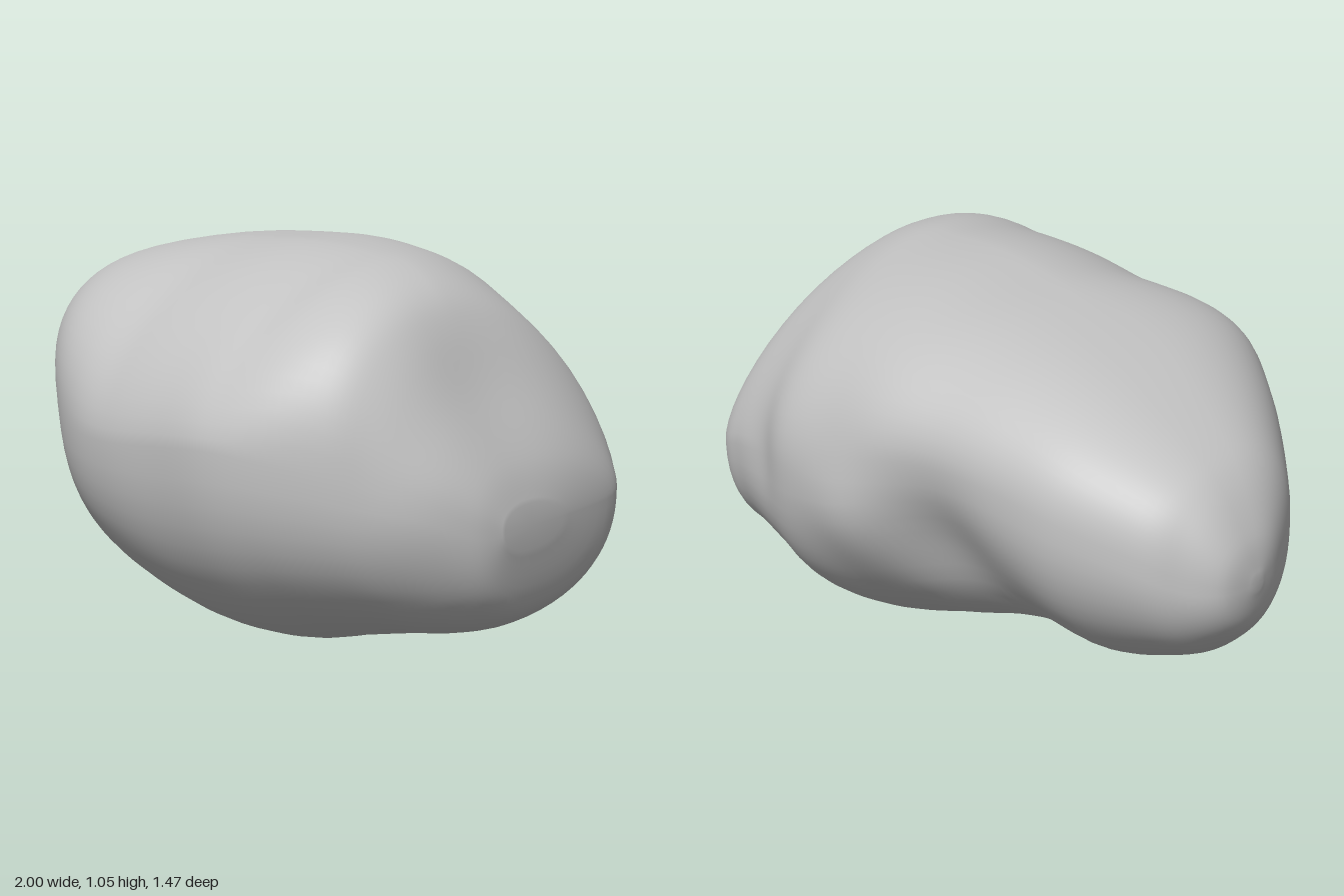
import * as THREE from 'three';

// Cross-sections along x: [x, zBack, zFront, yBottom, yTop, zCrown, zKeel, yBack, yFront]
const SECTIONS = [
  [-1.0, -0.46, -0.42, 0.55, 0.59, -0.44, -0.44, 0.57, 0.57],
  [-0.975, -0.55, -0.32, 0.45, 0.68, -0.44, -0.43, 0.57, 0.57],
  [-0.9, -0.62, -0.16, 0.36, 0.79, -0.42, -0.38, 0.58, 0.57],
  [-0.8, -0.68, -0.02, 0.29, 0.86, -0.38, -0.32, 0.62, 0.57],
  [-0.6, -0.73, 0.23, 0.20, 0.94, -0.30, -0.20, 0.66, 0.57],
  [-0.4, -0.73, 0.44, 0.18, 0.99, -0.22, -0.08, 0.68, 0.57],
  [-0.2, -0.725, 0.57, 0.12, 1.02, -0.12, 0.0, 0.67, 0.56],
  [0.0, -0.73, 0.65, 0.055, 1.035, -0.05, 0.02, 0.64, 0.56],
  [0.2, -0.70, 0.70, 0.005, 1.045, 0.0, 0.02, 0.60, 0.58],
  [0.4, -0.67, 0.74, 0.005, 1.035, 0.04, 0.02, 0.57, 0.60],
  [0.55, -0.60, 0.72, 0.04, 1.02, 0.10, 0.03, 0.53, 0.59],
  [0.7, -0.53, 0.65, 0.07, 0.97, 0.17, 0.04, 0.50, 0.56],
  [0.8, -0.48, 0.57, 0.085, 0.88, 0.20, 0.05, 0.46, 0.52],
  [0.9, -0.38, 0.46, 0.12, 0.72, 0.20, 0.08, 0.43, 0.47],
  [0.97, -0.26, 0.36, 0.19, 0.57, 0.18, 0.12, 0.40, 0.42],
  [1.0, 0.02, 0.28, 0.34, 0.46, 0.16, 0.17, 0.40, 0.40],
];

// Hollows and swellings of the surface: centre, radius and push
const WEAR = [
  { at: [0.53, 0.55, -0.6], radius: 0.13, push: [0, 0, 0.02] }, // back notch
  { at: [-0.17, 0.48, -0.69], radius: 0.2, push: [0, 0.02, 0.06] }, // back hollow
  { at: [0.13, 0.5, -0.7], radius: 0.16, push: [0, 0, -0.03] }, // back knob
  { at: [-0.47, 0.45, 0.36], radius: 0.24, push: [0.02, 0, -0.035] }, // front left dip
  { at: [0.84, 0.73, 0.2], radius: 0.25, push: [-0.035, -0.025, 0] }, // right end dip
  { at: [0.86, 0.42, 0.47], radius: 0.16, push: [0.015, 0.02, 0.01] }, // right front knob
];

const STEPS = 6; // rings between neighbouring sections
const SIDES = 64;

// Catmull-Rom blend of whole section rows
function sectionAt(t) {
  const last = SECTIONS.length - 1;
  const i = Math.min(Math.floor(t), last - 1);
  const f = t - i;
  const row = (k) => SECTIONS[THREE.MathUtils.clamp(k, 0, last)];
  const [a, b, c, d] = [row(i - 1), row(i), row(i + 1), row(i + 2)];
  return b.map((v, k) => v + 0.5 * f * (c[k] - a[k]
    + f * (2 * a[k] - 5 * v + 4 * c[k] - d[k] + f * (3 * (v - c[k]) + d[k] - a[k]))));
}

// Fullness of each quarter of a section, changing along the length
function fullness(x, front, top) {
  const { smoothstep } = THREE.MathUtils;
  if (front && top) return 2.6 - 0.85 * smoothstep(x, -0.5, 0) + 0.65 * smoothstep(x, 0.4, 0.75);
  if (top) return 2.7 - 1.0 * smoothstep(x, -0.1, 0.7);
  return front ? 2.3 : 2.0 + 0.3 * smoothstep(x, 0, 0.4);
}

// Point on a rounded section made of four superellipse quarters
function ringPoint(section, angle) {
  const [x, zBack, zFront, yBottom, yTop, zCrown, zKeel, yBack, yFront] = section;
  const c = Math.cos(angle), s = Math.sin(angle);
  const front = c >= 0, top = s >= 0;
  const n = fullness(x, front, top);
  const p = Math.pow(Math.abs(c), 2 / n), q = Math.pow(Math.abs(s), 2 / n);
  const zMid = top ? zCrown : zKeel, yMid = front ? yFront : yBack;
  return new THREE.Vector3(x,
    yMid + ((top ? yTop : yBottom) - yMid) * q,
    zMid + ((front ? zFront : zBack) - zMid) * p);
}

function wear(point) {
  const moved = point.clone();
  for (const { at, radius, push } of WEAR) {
    const d = point.distanceTo(new THREE.Vector3(...at)) / radius;
    moved.addScaledVector(new THREE.Vector3(...push), Math.exp(-d * d));
  }
  return moved;
}

function boulderGeometry() {
  const positions = [], index = [];
  const rings = (SECTIONS.length - 1) * STEPS + 1;
  for (let r = 0; r < rings; r++) {
    const section = sectionAt(r / STEPS);
    for (let j = 0; j < SIDES; j++) {
      positions.push(...wear(ringPoint(section, (j / SIDES) * Math.PI * 2)).toArray());
    }
  }
  for (let r = 0; r < rings - 1; r++) {
    for (let j = 0; j < SIDES; j++) {
      const k = (j + 1) % SIDES;
      const a = r * SIDES + j, b = r * SIDES + k;
      index.push(a, a + SIDES, b, b, a + SIDES, b + SIDES);
    }
  }
  // close both ends
  for (const [start, x, y, z, flip] of [
    [0, -1, 0.57, -0.44, false], [(rings - 1) * SIDES, 1, 0.4, 0.16, true]]) {
    const centre = positions.length / 3;
    positions.push(x, y, z);
    for (let j = 0; j < SIDES; j++) {
      const a = start + j, b = start + (j + 1) % SIDES;
      index.push(centre, ...(flip ? [b, a] : [a, b]));
    }
  }
  const geometry = new THREE.BufferGeometry();
  geometry.setAttribute('position', new THREE.Float32BufferAttribute(positions, 3));
  geometry.setIndex(index);
  geometry.computeVertexNormals();
  return geometry;
}

export function createModel() {
  const stone = new THREE.MeshStandardMaterial({ color: 0xc4c4c4 });
  stone.name = 'grey stone';
  const boulder = new THREE.Mesh(boulderGeometry(), stone);
  boulder.name = 'boulder';
  const model = new THREE.Group();
  model.name = 'rock';
  model.add(boulder);
  return model;
}
